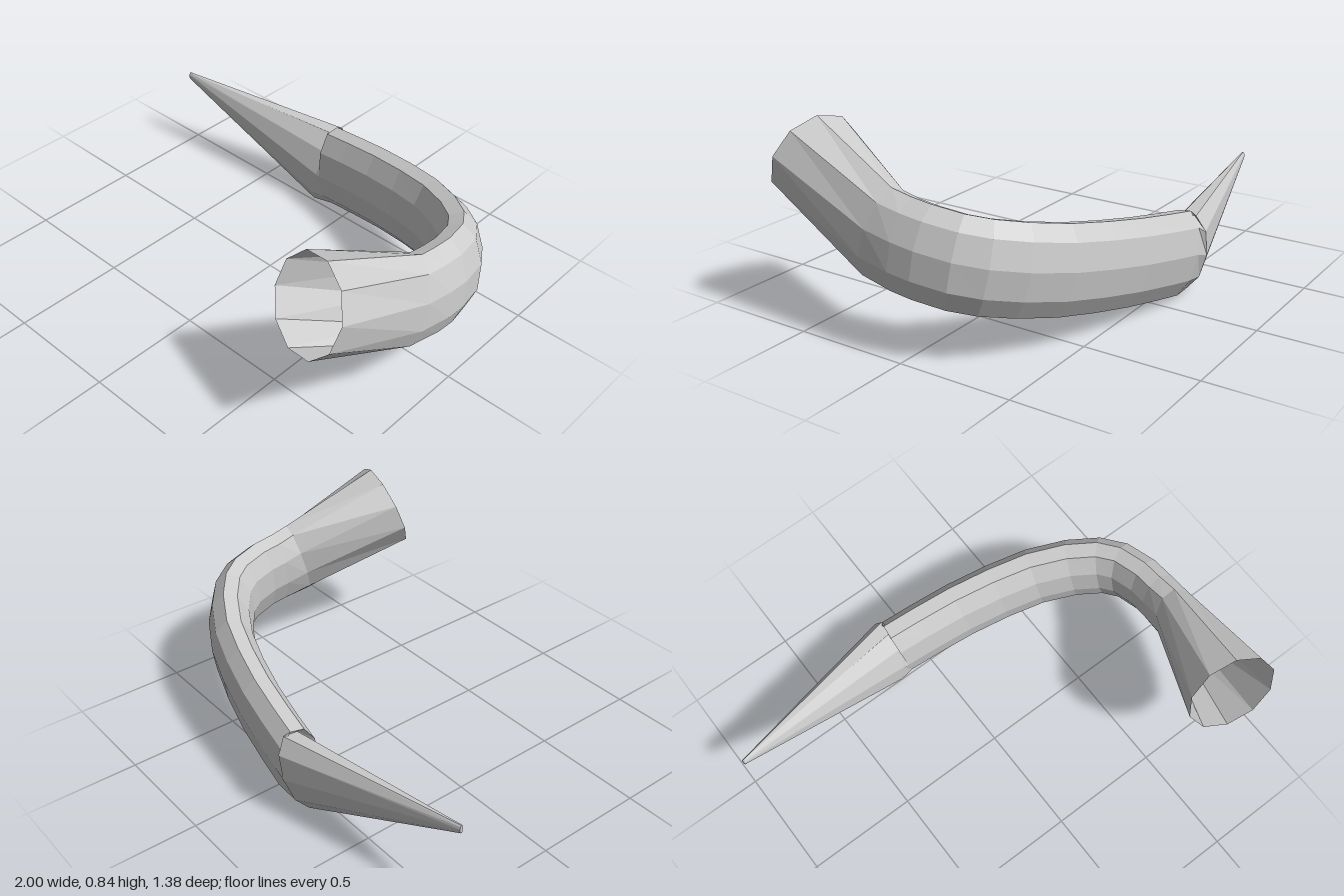
import * as THREE from 'three';

const SIDES = 10;
const PHASE = THREE.MathUtils.degToRad(10);

// Height of the tilted plane that the curved arm lies in
const armY = (x, z) => 0.437 + 0.158 * (x - 0.9) + 0.125 * z;
const ARM_UP = [-0.158, 1, -0.125];

// One cross-section: centre, half width, half height, lean of its tall axis
const ring = (c, w, h, up) => ({ c: new THREE.Vector3(...c), w, h, up: new THREE.Vector3(...up).normalize() });
const armRing = ([x, z]) => ring([x, armY(x, z), z], 0.1, 0.196, ARM_UP);

// Skin a list of cross-sections with quads
function loft(rings) {
  const pos = [];
  const index = [];
  rings.forEach((r, i) => {
    const before = rings[Math.max(i - 1, 0)].c;
    const after = rings[Math.min(i + 1, rings.length - 1)].c;
    const tangent = after.clone().sub(before);
    const side = tangent.cross(r.up).normalize();
    for (let k = 0; k < SIDES; k++) {
      const a = PHASE + (k / SIDES) * Math.PI * 2;
      const p = r.c.clone()
        .addScaledVector(side, r.w * Math.sin(a))
        .addScaledVector(r.up, r.h * Math.cos(a));
      pos.push(p.x, p.y, p.z);
    }
  });
  for (let i = 0; i < rings.length - 1; i++) {
    for (let k = 0; k < SIDES; k++) {
      const a = i * SIDES + k;
      const b = i * SIDES + ((k + 1) % SIDES);
      index.push(a, b, b + SIDES, a, b + SIDES, a + SIDES);
    }
  }
  // close the small tip
  const last = (rings.length - 1) * SIDES;
  for (let k = 1; k < SIDES - 1; k++) index.push(last, last + k, last + k + 1);

  const geo = new THREE.BufferGeometry();
  geo.setAttribute('position', new THREE.Float32BufferAttribute(pos, 3));
  geo.setIndex(index);
  geo.computeVertexNormals();
  return geo;
}

export function createModel() {
  const group = new THREE.Group();
  group.name = 'curvedHorn';

  // Centre line of the flattened arm seen from above, from neck to bend
  const arm = [
    [0.895, 0.04], [0.893, -0.05], [0.865, -0.175], [0.81, -0.26], [0.705, -0.345],
    [0.555, -0.425], [0.385, -0.48], [0.2, -0.525], [0.02, -0.555], [-0.125, -0.575],
  ];

  const rings = [
    ring([0.765, 0.655, 0.613], 0.198, 0.2, [0, 1, -0.38]), // open mouth
    ring([0.887, 0.462, 0.16], 0.1, 0.2, [-0.1, 1, -0.31]), // neck
    ...arm.map(armRing),
    ring([-0.17, 0.192, -0.58], 0.1, 0.2, [0.16, 1, -0.25]), // folded bend
    ring([-0.998, 0.386, -0.464], 0.009, 0.019, [0, 1, 0]), // tip
  ];

  const horn = new THREE.Mesh(
    loft(rings),
    new THREE.MeshStandardMaterial({ color: 0xcccccc, flatShading: true, side: THREE.DoubleSide }),
  );
  horn.name = 'horn';
  group.add(horn);
  return group;
}
